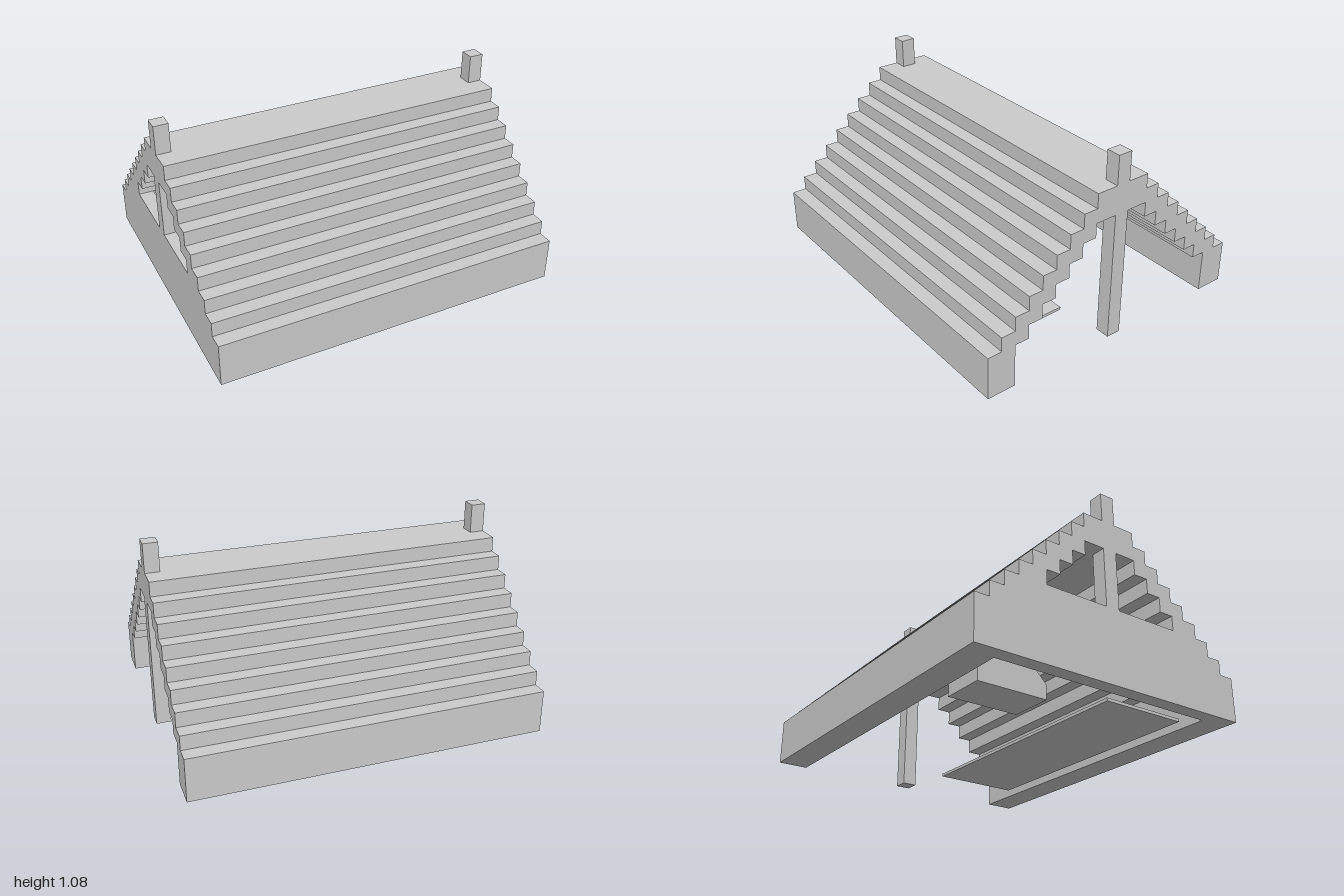
import * as THREE from 'three';

const U = 1 / 12; // everything sits on a grid of twelfths
const material = new THREE.MeshStandardMaterial({ color: 0xcccccc, flatShading: true });

function addMesh(group, name, geometry) {
  const mesh = new THREE.Mesh(geometry, material);
  mesh.name = name;
  group.add(mesh);
}

// Extrude a [back, up] profile along x between x0 and x1 (grid units; "back" is -z)
function extrudeAlongX(points, x0, x1) {
  const shape = new THREE.Shape(points.map(([b, y]) => new THREE.Vector2(b * U, y * U)));
  const geometry = new THREE.ExtrudeGeometry(shape, { depth: (x1 - x0) * U, bevelEnabled: false });
  return geometry.translate(0, 0, x0 * U).rotateY(Math.PI / 2);
}

// Box between two grid corners
function gridBox(x0, x1, y0, y1, z0, z1) {
  return new THREE.BoxGeometry((x1 - x0) * U, (y1 - y0) * U, (z1 - z0) * U)
    .translate((x0 + x1) / 2 * U, (y0 + y1) / 2 * U, (z0 + z1) / 2 * U);
}

// One flank of a staircase: starts at the ground, first riser 3 high, then single steps
function stairs(halfWidth, count) {
  const points = [[halfWidth, 0]];
  for (let i = 0; i < count; i++) {
    points.push([halfWidth - i, 3 + i]);
    if (i < count - 1) points.push([halfWidth - i - 1, 3 + i]);
  }
  return points;
}

const mirrored = (points) => points.map(([b, y]) => [-b, y]).reverse();

export function createModel() {
  const model = new THREE.Group();
  model.name = 'tent';

  // Stepped roof shell, open below and at both ends
  const outer = stairs(10, 9);
  const inner = stairs(8, 7);
  const roof = [...outer, ...mirrored(outer), ...mirrored(inner).reverse(), ...[...inner].reverse()];
  addMesh(model, 'roof', extrudeAlongX(roof, -12, 12));

  // Low wall closing the lower part of one end
  const wall = stairs(8, 3);
  addMesh(model, 'endWall', extrudeAlongX([...wall, ...mirrored(wall)], -12, -11));

  // Ridge poles at both ends
  for (const side of [-1, 1]) {
    const x = side * 11.5;
    addMesh(model, side > 0 ? 'leftPole' : 'rightPole', gridBox(x - 0.5, x + 0.5, 0, 13, -0.5, 0.5));
  }

  // Thin sleeping mat and chamfered chest on the floor
  addMesh(model, 'sleepingMat', gridBox(-10, 8, 0, 0.2, 1, 7));
  addMesh(model, 'chest', extrudeAlongX([[2, 0], [7, 0], [7, 2], [3, 2], [2, 1]], -8, -5));

  return model;
}
